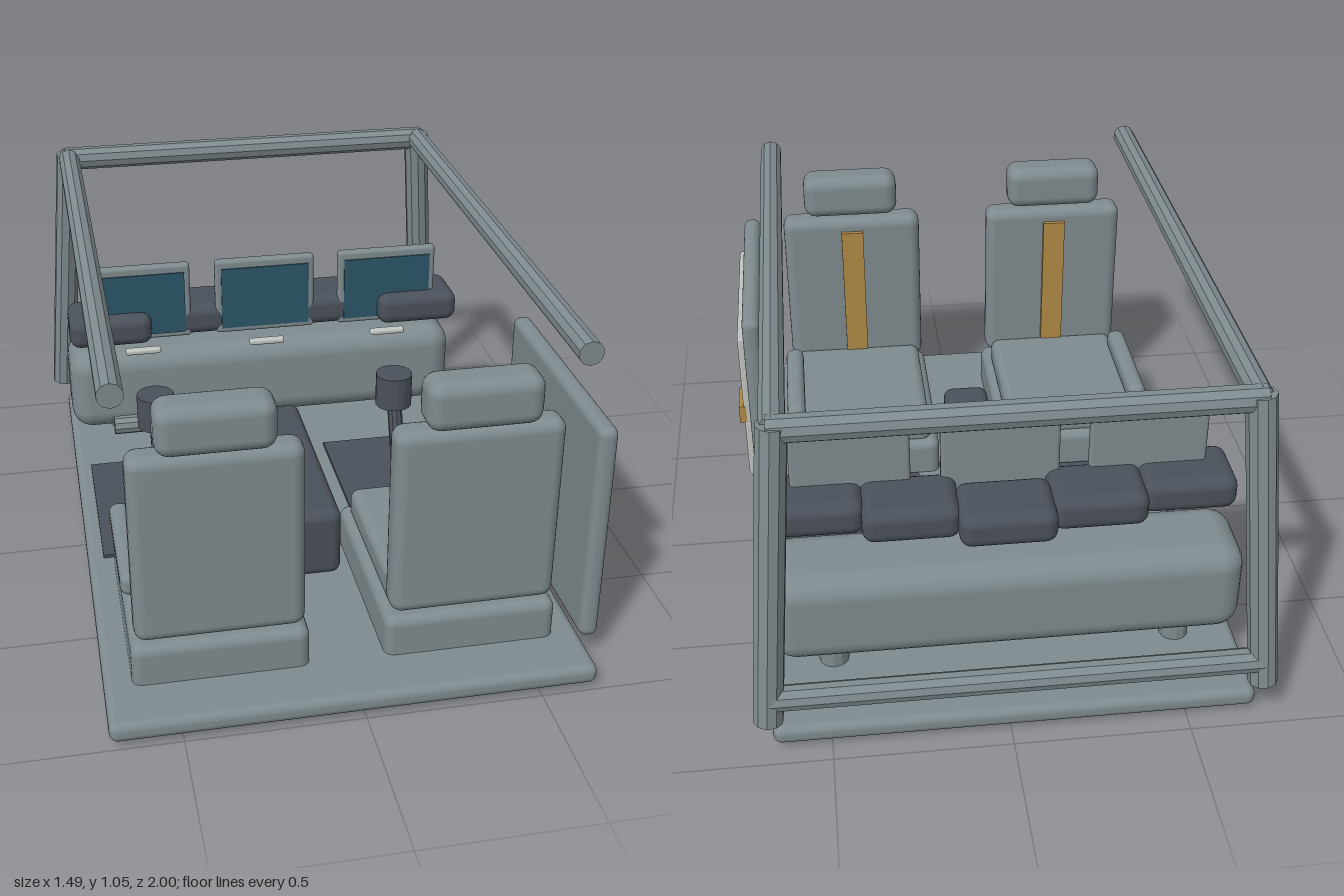
import * as THREE from 'three';
import { RoundedBoxGeometry } from 'three/addons/geometries/RoundedBoxGeometry.js';

const mat = (name, color, flatShading = false) =>
  Object.assign(new THREE.MeshStandardMaterial({ color, flatShading }), { name });

export function createModel() {
  const model = new THREE.Group();
  model.name = 'vehicleCabin';
  const cabin = new THREE.Group();
  cabin.name = 'cabin';
  cabin.position.x = -0.018; // the single door shifts the rest off centre
  model.add(cabin);

  const grey = mat('grey', 0x7f8b8f);
  const dark = mat('darkGrey', 0x4b515b);
  const light = mat('lightPanel', 0xc0c4c0);
  const gold = mat('gold', 0xb08a45);
  const teal = mat('screenTeal', 0x2b5566);

  const add = (name, geometry, material) => {
    const mesh = new THREE.Mesh(geometry, material);
    mesh.name = name;
    cabin.add(mesh);
    return mesh;
  };

  // Box given by its limits on each axis, rounded when r > 0
  const box = (name, material, [x0, x1], [y0, y1], [z0, z1], r = 0) => {
    const size = [x1 - x0, y1 - y0, z1 - z0];
    const geometry = r ? new RoundedBoxGeometry(...size, 3, r) : new THREE.BoxGeometry(...size);
    add(name, geometry, material).position.set((x0 + x1) / 2, (y0 + y1) / 2, (z0 + z1) / 2);
  };
  const around = (c, w) => [c - w / 2, c + w / 2];

  // Faceted tube between two points
  const bar = (name, material, from, to, r, sides = 10) => {
    const a = new THREE.Vector3(...from), b = new THREE.Vector3(...to);
    const d = b.clone().sub(a);
    const geometry = new THREE.CylinderGeometry(r, r, d.length(), sides).toNonIndexed();
    geometry.computeVertexNormals();
    const mesh = add(name, geometry, material);
    mesh.position.copy(a).add(b).multiplyScalar(0.5);
    mesh.quaternion.setFromUnitVectors(new THREE.Vector3(0, 1, 0), d.normalize());
  };

  // Floor and centre console
  box('floor', grey, [-0.68, 0.68], [0.02, 0.08], [-0.95, 1], 0.025);
  box('centreConsole', dark, around(0, 0.15), [0.075, 0.295], [-0.305, 0.415], 0.03);

  // Dashboard with a stepped row of instrument pods
  box('dashboard', grey, [-0.675, 0.67], [0.14, 0.427], [-0.77, -0.5], 0.07);
  for (let i = -2; i <= 2; i++) {
    const z = -0.64 + 0.05 * Math.abs(i);
    box('instrumentPod', dark, around(i * 0.265, 0.275), [0.485, 0.59], around(z, 0.2), 0.035);
  }

  // Monitors with a small switch strip below each
  for (const x of [-0.425, 0, 0.425]) {
    box('monitorFrame', grey, around(x, 0.34), [0.485, 0.75], [-0.527, -0.492], 0.012);
    box('monitorScreen', teal, around(x, 0.3), [0.505, 0.722], [-0.493, -0.487]);
    box('switchStrip', light, around(x, 0.12), [0.445, 0.465], [-0.483, -0.455], 0.008);
  }

  for (const s of [-1, 1]) {
    const x = s * 0.354;
    // Seat
    box('seatBase', grey, around(x, 0.495), [0.005, 0.2], [0.215, 0.84], 0.03);
    box('seatCushion', grey, around(x, 0.44), [0.18, 0.275], [0.24, 0.76], 0.03);
    box('backrest', grey, around(x, 0.47), [0.217, 0.785], [0.748, 0.845], 0.035);
    box('headrest', grey, around(x, 0.318), [0.79, 0.934], [0.748, 0.872], 0.04);
    box('seatBelt', gold, around(x, 0.075), [0.27, 0.74], [0.733, 0.752]);
    box('armrest', grey, around(s * 0.58, 0.06), [0.26, 0.33], [0.275, 0.68], 0.025);

    // Footwell mat
    box('floorMat', dark, around(s * 0.406, 0.452), [0.08, 0.09], [-0.365, 0.2]);

    // Control lever
    const knob = [s * 0.408, 0.265, -0.287];
    bar('controlKnob', dark, knob, [knob[0], 0.38, knob[2]], 0.062, 16);
    bar('controlLever', dark, [knob[0], 0.28, -0.275], [knob[0], 0.11, -0.207], 0.025);

    // Dashboard foot
    bar('dashboardFoot', grey, [s * 0.5, 0.07, -0.672], [s * 0.5, 0.18, -0.672], 0.043, 12);

    // Roll cage side
    bar('roofRail', grey, [s * 0.615, 0.997, 0.88], [s * 0.615, 1.017, -0.87], 0.035);
    bar('rearPillar', grey, [s * 0.615, 1.03, -0.868], [s * 0.687, 0.13, -0.957], 0.042);
  }

  // Roll cage cross bars
  bar('upperCrossBar', grey, [-0.63, 1.015, -0.867], [0.63, 1.015, -0.867], 0.038);
  bar('lowerCrossBar', grey, [-0.68, 0.205, -0.955], [0.68, 0.205, -0.955], 0.036);

  // Steering bar and column
  bar('steeringBar', grey, [-0.545, 0.245, -0.345], [-0.15, 0.245, -0.345], 0.031);
  bar('steeringColumn', grey, [-0.347, 0.235, -0.345], [-0.347, 0.2, -0.54], 0.028);

  // Door on the left side
  box('door', grey, [0.67, 0.726], [0.08, 0.757], [0.118, 0.868], 0.025);
  box('doorPanel', light, [0.715, 0.748], [0.13, 0.66], [0.19, 0.803], 0.008);
  box('doorHandle', gold, [0.74, 0.763], [0.345, 0.405], [0.19, 0.31]);

  return model;
}
